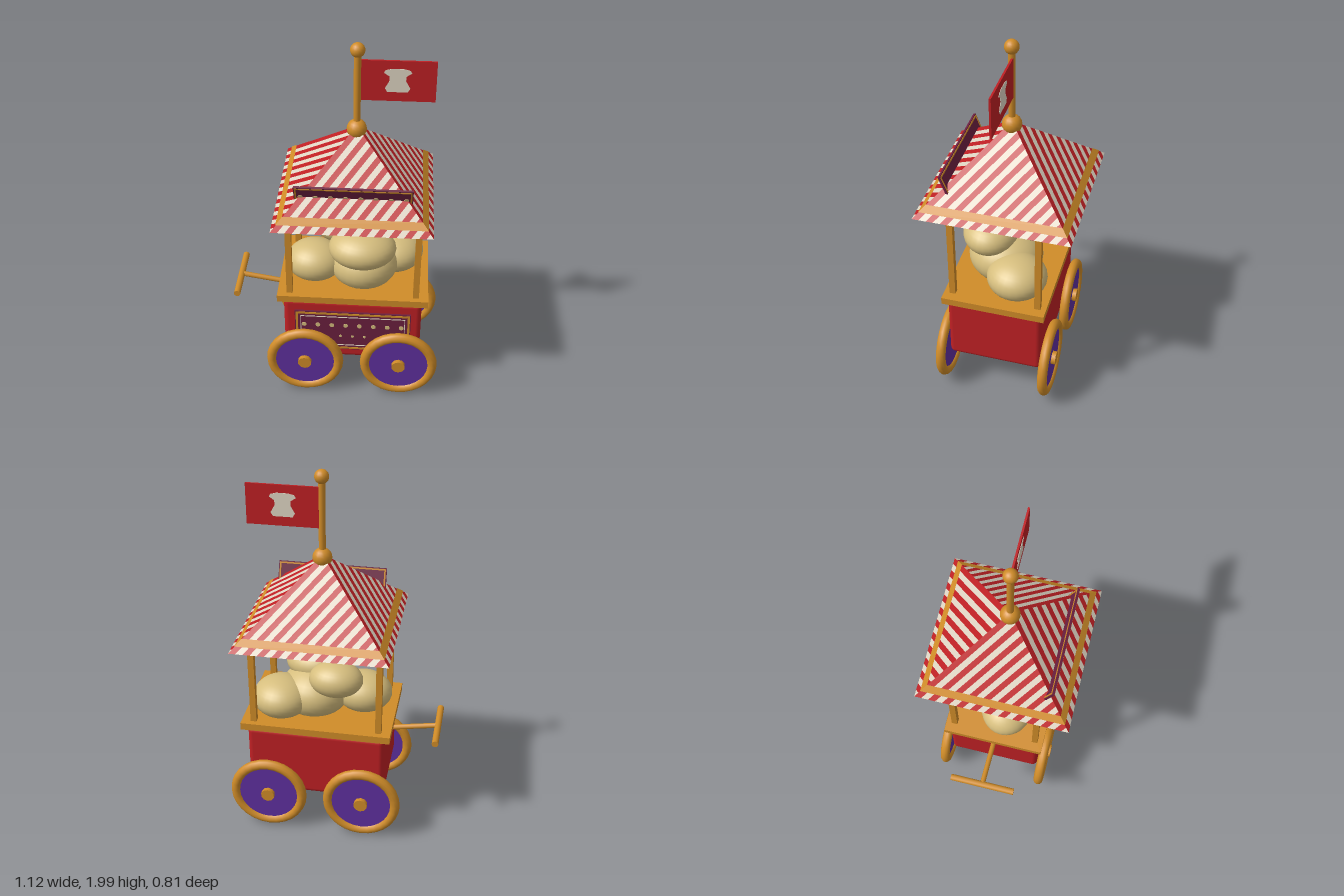
import * as THREE from 'three';
import { RoundedBoxGeometry } from 'three/addons/geometries/RoundedBoxGeometry.js';

const mat = (name, color, extra = {}) => {
  const m = new THREE.MeshStandardMaterial({ color, ...extra });
  m.name = name;
  return m;
};

export function createModel() {
  const red = mat('red', 0xc02024), gold = mat('gold', 0xd08c28), purple = mat('purple', 0x6030a0);
  const cream = mat('cream', 0xe0d6c4), tan = mat('tan', 0xd6be7e), maroon = mat('maroon', 0x6c2040);
  const model = new THREE.Group();
  model.name = 'snackCart';
  const CX = 0.087; // centre line of the cart

  const add = (name, geo, material, x = 0, y = 0, z = 0, parent = model) => {
    const m = new THREE.Mesh(geo, material);
    m.name = name;
    m.position.set(x, y, z);
    parent.add(m);
    return m;
  };
  const box = (w, h, d) => new THREE.BoxGeometry(w, h, d);
  const rod = (name, a, b, r) => {
    const dir = b.clone().sub(a);
    const m = add(name, new THREE.CylinderGeometry(r, r, dir.length(), 12), gold);
    m.position.copy(a).addScaledVector(dir, 0.5);
    m.quaternion.setFromUnitVectors(new THREE.Vector3(0, 1, 0), dir.normalize());
  };
  const V = (x, y, z) => new THREE.Vector3(x, y, z);

  // Body and counter
  add('body', new RoundedBoxGeometry(0.74, 0.39, 0.51, 3, 0.028), red, CX, 0.42, 0);
  add('counter', box(0.803, 0.04, 0.55), gold, CX, 0.636, 0);

  // Posts and ceiling
  for (const sx of [-1, 1]) for (const sz of [-1, 1]) {
    add('post', box(0.032, 0.48, 0.032), gold, CX + sx * 0.336, 0.89, sz * 0.229);
    add('eaveKnob', new THREE.SphereGeometry(0.035, 16, 10), cream, CX + sx * 0.28, 1.176, sz * 0.28);
  }
  add('ceiling', box(0.706, 0.035, 0.49), gold, CX, 1.141, 0);

  // Wheels
  for (const x of [-0.17, 0.345]) for (const s of [-1, 1]) {
    const wheel = new THREE.Group();
    wheel.name = 'wheel';
    wheel.position.set(x, 0.221, s * 0.284);
    add('tyre', new THREE.TorusGeometry(0.185, 0.027, 12, 28), gold, 0, 0, 0, wheel);
    add('wheelDisc', new THREE.CylinderGeometry(0.18, 0.18, 0.024, 28), purple, 0, 0, 0, wheel).rotation.x = Math.PI / 2;
    add('hub', new THREE.CylinderGeometry(0.037, 0.037, 0.07, 10), gold, 0, 0, 0, wheel).rotation.x = Math.PI / 2;
    model.add(wheel);
  }

  // Push handle
  rod('handleRod', V(-0.26, 0.532, 0), V(-0.546, 0.58, 0), 0.014);
  rod('handleBar', V(-0.546, 0.578, -0.178), V(-0.546, 0.578, 0.178), 0.018);

  // Heap of sacks
  [
    [0.13, 0.87, 0.1, 0.18, 0.103, 0.15],
    [0, 0.88, -0.1, 0.145, 0.095, 0.115],
    [0.3, 0.735, -0.085, 0.158, 0.11, 0.16],
    [-0.13, 0.735, 0.04, 0.155, 0.11, 0.14],
    [0.135, 0.735, 0.02, 0.19, 0.145, 0.2],
  ].forEach(([x, y, z, a, b, c]) => {
    add('sack', new THREE.SphereGeometry(1, 28, 18), tan, x, y, z).scale.set(a, b, c);
  });

  // Roof: diagonal stripes run parallel to one hip of each slope
  const H = 0.403, Y0 = 1.16, Y1 = 1.55, STRIPES = 22;
  const redPts = [], creamPts = [], bandPts = [];
  const quad = (list, a, b, c, d) => list.push(a, b, c, a, c, d);
  const up = V(0, 1, 0);
  for (let side = 0; side < 4; side++) {
    const turn = (x, y, z) => V(x, y, z).applyAxisAngle(up, side * Math.PI / 2);
    const A = turn(-H, Y0, H), B = turn(H, Y0, H), P = V(0, Y1, 0);
    for (let i = 0; i < STRIPES; i++) {
      const t = i / STRIPES, u = (i + 1) / STRIPES;
      quad(i % 2 ? creamPts : redPts, A.clone().lerp(B, t), A.clone().lerp(B, u),
        P.clone().lerp(B, u), P.clone().lerp(B, t));
    }
    // Gold band lying on the slope
    const rim = (h, s) => turn(s * h, Y1 - (Y1 - Y0) * h / H + 0.004, h);
    quad(bandPts, rim(0.377, -1), rim(0.377, 1), rim(0.346, 1), rim(0.346, -1));
  }
  const faces = (name, pts, material) => {
    const g = new THREE.BufferGeometry().setFromPoints(pts);
    g.computeVertexNormals();
    return add(name, g, material, CX, 0, 0);
  };
  faces('roofRedStripes', redPts, red);
  faces('roofCreamStripes', creamPts, cream);
  faces('roofBand', bandPts, gold);
  add('roofUnderside', new THREE.PlaneGeometry(2 * H, 2 * H), cream, CX, Y0, 0).rotation.x = Math.PI / 2;

  // Rectangular ring used for board borders
  const ring = (w, h, t, depth) => {
    const rect = (p, a, b) => p.moveTo(-a, -b).lineTo(a, -b).lineTo(a, b).lineTo(-a, b).closePath();
    const s = rect(new THREE.Shape(), w / 2, h / 2);
    s.holes.push(rect(new THREE.Path(), w / 2 - t, h / 2 - t));
    return new THREE.ExtrudeGeometry(s, { depth, bevelEnabled: false }).translate(0, 0, -depth / 2);
  };
  const dot = (parent, x, y, z, r) => {
    add('paintedDot', new THREE.CylinderGeometry(r, r, 0.004, 10), tan, x, y, z, parent).rotation.x = Math.PI / 2;
  };
  const board = (name, w, h, dotY, border) => {
    const g = new THREE.Group();
    g.name = name;
    add('boardPanel', box(w, h, 0.012), maroon, 0, 0, 0, g);
    add('boardBorder', ring(w - 0.01, h - 0.01, border, 0.017), gold, 0, 0, 0, g);
    for (let i = 0; i < 8; i++) dot(g, (i - 3.5) * 0.075, dotY, 0.007, 0.013);
    model.add(g);
    return g;
  };

  // Front panel
  const panel = board('frontPanel', 0.625, 0.26, 0.04, 0.012);
  panel.position.set(CX + 0.003, 0.42, 0.259);
  add('panelLine', ring(0.565, 0.2, 0.004, 0.004), cream, 0, 0, 0.007, panel);
  for (const x of [-0.065, 0, 0.065]) dot(panel, x, -0.035, 0.007, 0.008);

  // Leaning roof sign
  const sign = board('roofSign', 0.59, 0.108, -0.018, 0.008);
  sign.position.set(CX, 1.31, 0.27);
  sign.rotation.x = 0.38;

  // Flagpole, balls and flag
  rod('flagpole', V(CX, 1.5, 0), V(CX, 1.96, 0), 0.018);
  add('lowerBall', new THREE.SphereGeometry(0.051, 16, 12), gold, CX, 1.535, 0);
  add('topBall', new THREE.SphereGeometry(0.037, 16, 12), gold, CX, 1.963, 0);
  add('flag', box(0.37, 0.215, 0.01), red, 0.286, 1.803, -0.006);

  // Plain sack shape painted on both faces of the flag
  const half = [[0.05, -0.06], [0.062, -0.04], [0.04, 0], [0.042, 0.025], [0.068, 0.042], [0.06, 0.056], [0.03, 0.064]];
  const outline = [...half, ...half.map(([x, y]) => [-x, y]).reverse()].map(([x, y]) => new THREE.Vector2(x, y));
  add('flagPatch', new THREE.ExtrudeGeometry(new THREE.Shape(outline), { depth: 0.014, bevelEnabled: false }),
    cream, 0.283, 1.805, -0.013);

  return model;
}
